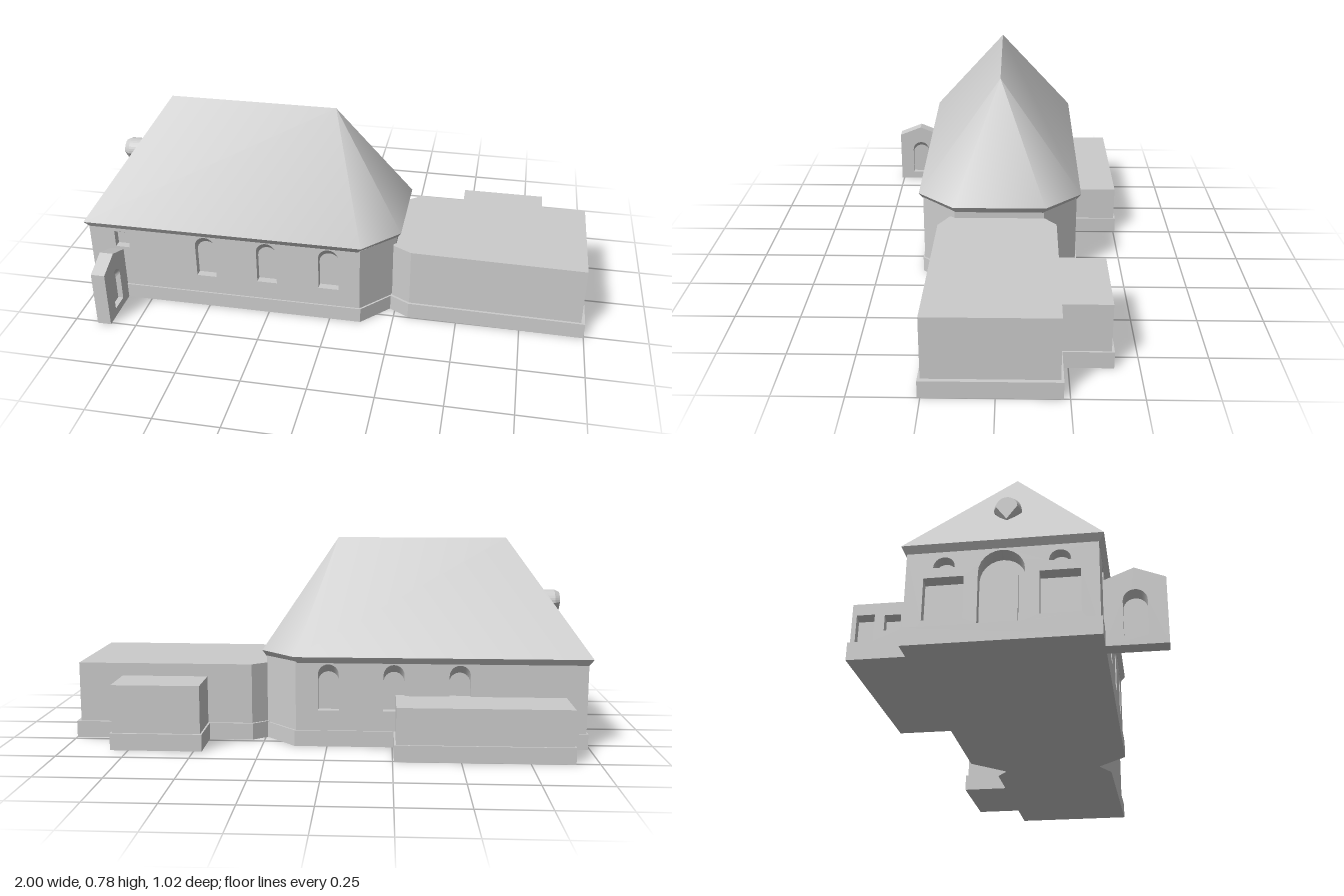
import * as THREE from 'three';
import { toCreasedNormals } from 'three/addons/utils/BufferGeometryUtils.js';

const T = 0.03; // depth of wall recesses

export function createModel() {
  const model = new THREE.Group();
  const plaster = new THREE.MeshStandardMaterial({ color: 0xcccccc });
  plaster.name = 'pale grey';

  const add = (geo, name, parent = model) => {
    const mesh = new THREE.Mesh(geo, plaster);
    mesh.name = name;
    parent.add(mesh);
    return mesh;
  };

  // Upright prism over a footprint of [x, z] points
  const prism = (pts, y0, y1, name) => {
    const shape = new THREE.Shape(pts.map(([x, z]) => new THREE.Vector2(x, -z)));
    const geo = new THREE.ExtrudeGeometry(shape, { depth: y1 - y0, bevelEnabled: false });
    return add(geo.rotateX(-Math.PI / 2).translate(0, y0, 0), name);
  };
  const rect = (x0, x1, z0, z1) => [[x0, z0], [x1, z0], [x1, z1], [x0, z1]];

  // Footprint widened by d on every side
  const widen = (pts, d) => {
    const axis = (i) => {
      const v = pts.map((p) => p[i]);
      const lo = Math.min(...v), hi = Math.max(...v);
      return { c: (lo + hi) / 2, s: (hi - lo + 2 * d) / (hi - lo) };
    };
    const a = axis(0), b = axis(1);
    return pts.map(([x, z]) => [a.c + (x - a.c) * a.s, b.c + (z - b.c) * b.s]);
  };

  // Top line of an opening from left to right: half round or straight
  const headLine = ({ x, r, top, arch }) => {
    if (!arch) return [[x - r, top], [x + r, top]];
    const pts = [];
    for (let i = 0; i <= 12; i++) {
      const a = Math.PI * (1 - i / 12);
      pts.push([x + r * Math.cos(a), top - r + r * Math.sin(a)]);
    }
    return pts;
  };

  // Wall panel facing +z with recessed openings and sloping heads
  const panel = (outline, openings, name, t = T) => {
    const group = new THREE.Group();
    group.name = name;
    const shape = new THREE.Shape(outline.map(([x, y]) => new THREE.Vector2(x, y)));
    for (const o of openings) {
      const head = headLine(o);
      const ring = [[o.x + o.r, o.y], [o.x - o.r, o.y], ...head];
      shape.holes.push(new THREE.Path(ring.map(([x, y]) => new THREE.Vector2(x, y))));
      const pos = [], index = [];
      head.forEach(([x, y], i) => {
        pos.push(x, y, 0, x, y - o.drop, -t);
        const k = 2 * i;
        if (i < head.length - 1) index.push(k, k + 1, k + 2, k + 1, k + 3, k + 2);
      });
      const strip = new THREE.BufferGeometry();
      strip.setAttribute('position', new THREE.Float32BufferAttribute(pos, 3));
      strip.setIndex(index);
      strip.computeVertexNormals();
      add(strip, 'openingHead', group);
    }
    const geo = new THREE.ExtrudeGeometry(shape, { depth: t, bevelEnabled: false });
    add(geo.translate(0, 0, -t), 'wallPanel', group);
    model.add(group);
    return group;
  };
  const face = (x0, x1, y0, y1) => [[x0, y0], [x1, y0], [x1, y1], [x0, y1]];

  // Nave: core, apse and plinth
  const nave = [[-0.985, -0.308], [0.12, -0.308], [0.245, -0.175], [0.245, 0.175], [0.12, 0.308], [-0.985, 0.308]];
  prism(rect(-0.985 + T, 0.12, -0.308 + T, 0.308 - T), 0, 0.33, 'naveCore');
  prism([[0.09, -0.308], ...nave.slice(1, 5), [0.09, 0.308]], 0, 0.33, 'apse');
  // Plinth is kept clear of the recesses, which all start above it
  prism(widen(nave, 0.006), 0, 0.062, 'navePlinth');

  // Long walls with three arched windows each
  const arched = (x) => ({ x, r: 0.04, y: 0.14, top: 0.32, arch: true, drop: 0.032 });
  const xs = [-0.505, -0.255, -0.005];
  const small = { x: -0.852, r: 0.029, y: 0.24, top: 0.31, drop: 0.02 };
  panel(face(-0.955, 0.1, 0, 0.33), [small, ...xs.map(arched)], 'frontWall').position.z = 0.308;
  const back = panel(face(-0.1, 0.955, 0, 0.33), xs.map((x) => arched(-x)), 'backWall');
  back.rotation.y = Math.PI;
  back.position.z = -0.308;

  // Entrance wall: arched door, square windows and lunettes
  const entrance = [{ x: 0, r: 0.075, y: 0.065, top: 0.32, arch: true, drop: 0.02 }];
  for (const s of [-1, 1]) {
    entrance.push({ x: s * 0.185, r: 0.065, y: 0.085, top: 0.235, drop: 0.012 });
    entrance.push({ x: s * 0.185, r: 0.035, y: 0.27, top: 0.307, arch: true, drop: 0.01 });
  }
  const west = panel(face(-0.308, 0.308, 0, 0.33), entrance, 'entranceWall');
  west.rotation.y = -Math.PI / 2;
  west.position.x = -0.985;
  add(new THREE.BoxGeometry(0.015, 0.175, 0.1).translate(-0.958, 0.15, 0), 'door');

  // Hipped roof: sloping eave ring, ridge and rounded apse end
  const eave = [[-1, 0.325], [0.125, 0.325], [0.262, 0.18], [0.262, -0.18], [0.125, -0.325], [-1, -0.325]];
  const lower = widen(eave, -0.016);
  const A = [-0.7, 0.783, 0], B = [-0.03, 0.783, 0];
  const e = eave.map(([x, z]) => [x, 0.35, z]);
  const l = lower.map(([x, z]) => [x, 0.325, z]);
  const tris = [e[0], e[1], B, e[0], B, A, e[1], e[2], B, e[2], e[3], B, e[3], e[4], B,
    e[4], e[5], A, e[4], A, B, e[5], e[0], A];
  for (let i = 0; i < 6; i++) {
    const j = (i + 1) % 6;
    tris.push(l[i], l[j], e[j], l[i], e[j], e[i]);
    if (i > 0 && i < 5) tris.push(l[0], l[j], l[i]);
  }
  const roof = new THREE.BufferGeometry();
  roof.setAttribute('position', new THREE.Float32BufferAttribute(tris.flat(), 3));
  add(toCreasedNormals(roof, 0.8), 'roof');

  // Small drop-shaped dormer on the hip
  const drop = new THREE.Shape();
  drop.moveTo(0, 0.482);
  drop.lineTo(0.036, 0.53);
  drop.absarc(0, 0.53, 0.036, 0, Math.PI, false);
  drop.lineTo(0, 0.482);
  const dormer = new THREE.ExtrudeGeometry(drop, {
    depth: 0.05, bevelEnabled: true, bevelSize: 0.01, bevelThickness: 0.02, bevelSegments: 1, curveSegments: 8,
  });
  dormer.translate(0, 0, 0.01).rotateY(-Math.PI / 2).translate(-0.836, 0, 0);
  add(dormer, 'dormer');

  // Rear extension with chamfered corners, and its side room
  const hall = [[0.235, -0.17], [0.3, -0.222], [0.985, -0.218], [0.985, 0.25], [0.31, 0.237], [0.235, 0.195]];
  prism(hall, 0, 0.3, 'extension');
  prism(widen(hall, 0.01).map(([x, z]) => [Math.min(x + 0.005, 1), z]), 0, 0.065, 'extensionPlinth');
  prism(rect(0.475, 0.812, -0.4, -0.2), 0, 0.25, 'sideRoom');
  prism(rect(0.468, 0.819, -0.41, -0.2), 0, 0.065, 'sideRoomPlinth');

  // Low vestry against the back wall
  prism(rect(-0.88, -0.262, -0.5, -0.29), 0, 0.2, 'vestry');
  prism(rect(-0.912, -0.255, -0.507, -0.29), 0, 0.062, 'vestryPlinth');
  const vestryEnd = panel(face(-0.5, -0.29, 0, 0.2), [
    { x: -0.455, r: 0.03, y: 0.065, top: 0.16, drop: 0.012 },
    { x: -0.365, r: 0.027, y: 0.1, top: 0.155, drop: 0.012 },
  ], 'vestryEndWall', 0.026);
  vestryEnd.rotation.y = -Math.PI / 2;
  vestryEnd.position.x = -0.906;

  // Gabled gate wall with an arched niche on both faces
  for (const s of [-1, 1]) {
    const gate = panel(
      [[-0.1, 0], [0.1, 0], [0.1, 0.23], [0, 0.27], [-0.1, 0.23]],
      [{ x: 0, r: 0.039, y: 0.033, top: 0.192, arch: true, drop: 0.022 }],
      'gateWall', 0.022);
    gate.rotation.y = s * Math.PI / 2;
    gate.position.set(-0.8775 + s * 0.0275, 0, 0.41);
  }
  add(new THREE.BoxGeometry(0.012, 0.23, 0.2).translate(-0.8775, 0.115, 0.41), 'gateCore');
  const gable = new THREE.Shape([[-0.1, 0.23], [0.1, 0.23], [0, 0.27]].map(([x, y]) => new THREE.Vector2(x, y)));
  add(new THREE.ExtrudeGeometry(gable, { depth: 0.012, bevelEnabled: false })
    .rotateY(Math.PI / 2).translate(-0.8835, 0, 0.41), 'gateGable');

  return model;
}
